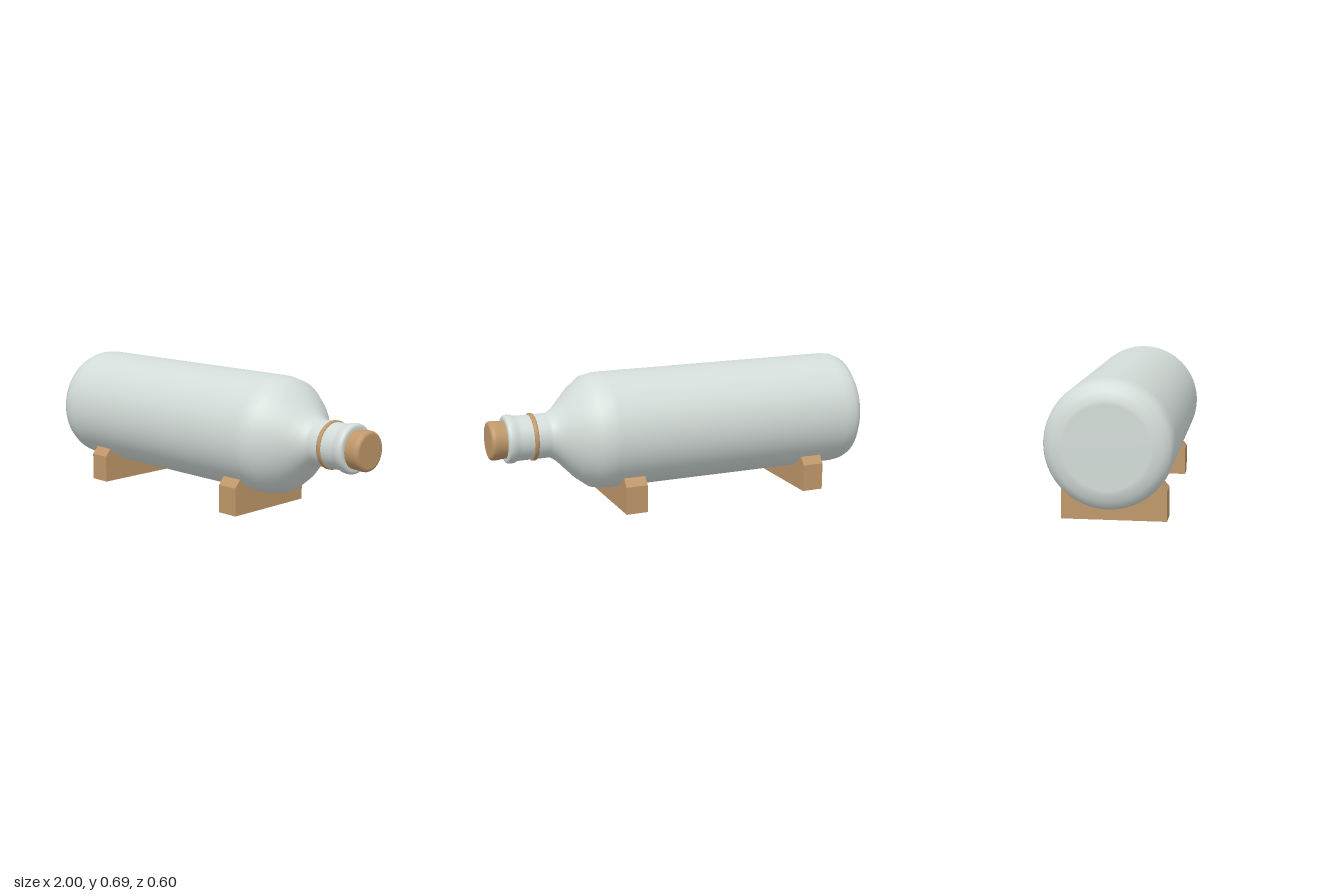
import * as THREE from 'three';

const AXIS_Y = 0.39;
const RADIUS = 0.3;

const glass = new THREE.MeshStandardMaterial({ color: 0xd3dcd8 });
glass.name = 'paleGreyGlass';
const wood = new THREE.MeshStandardMaterial({ color: 0xc0986a });
wood.name = 'lightWood';

// Revolves [x, radius] pairs around the bottle's horizontal axis
function turned(name, profile, material) {
  const points = profile.map(([x, r]) => new THREE.Vector2(r, x));
  const geometry = new THREE.LatheGeometry(points, 72);
  geometry.rotateZ(-Math.PI / 2);
  const mesh = new THREE.Mesh(geometry, material);
  mesh.name = name;
  mesh.position.y = AXIS_Y;
  return mesh;
}

// Block with chamfered shoulders and a round cradle cut to the bottle's radius
function makeStand(name, x) {
  const half = Math.asin(0.217 / RADIUS);
  const shape = new THREE.Shape();
  shape.moveTo(-0.25, 0);
  shape.lineTo(0.25, 0);
  shape.lineTo(0.25, 0.143);
  shape.lineTo(0.217, 0.183);
  shape.absarc(0, AXIS_Y, RADIUS, -Math.PI / 2 + half, -Math.PI / 2 - half, true);
  shape.lineTo(-0.25, 0.143);
  shape.closePath();
  const depth = 0.115;
  const geometry = new THREE.ExtrudeGeometry(shape, { depth, bevelEnabled: false, curveSegments: 32 });
  geometry.translate(0, 0, -depth / 2);
  geometry.rotateY(Math.PI / 2);
  const mesh = new THREE.Mesh(geometry, wood);
  mesh.name = name;
  mesh.position.x = x;
  return mesh;
}

export function createModel() {
  const group = new THREE.Group();
  group.name = 'bottleOnStands';

  // Body, shoulder, neck and rolled lip in one profile
  group.add(turned('bottle', [
    [-1, 0], [-1, 0.195], [-0.998, 0.212], [-0.988, 0.25], [-0.965, 0.282], [-0.935, 0.295], [-0.895, 0.3],
    [-0.88, 0.3], [0.4, 0.3], [0.43, 0.299], [0.495, 0.286], [0.56, 0.237], [0.62, 0.175],
    [0.655, 0.138], [0.69, 0.114], [0.71, 0.113], [0.85, 0.113], [0.868, 0.115], [0.88, 0.121],
    [0.898, 0.123], [0.912, 0.121], [0.919, 0.114], [0.92, 0.105], [0.92, 0],
  ], glass));

  // Thin ring around the neck
  group.add(turned('neckBand', [
    [0.768, 0.11], [0.768, 0.117], [0.772, 0.12], [0.786, 0.12], [0.79, 0.117], [0.79, 0.11],
  ], wood));

  // Stopper with softly rounded end
  group.add(turned('cork', [
    [0.91, 0.094], [0.93, 0.095], [0.955, 0.097], [0.975, 0.099], [0.988, 0.098],
    [0.996, 0.094], [1, 0.085], [1, 0.08], [1, 0],
  ], wood));

  group.add(makeStand('baseStand', -0.707));
  group.add(makeStand('shoulderStand', 0.307));
  return group;
}
